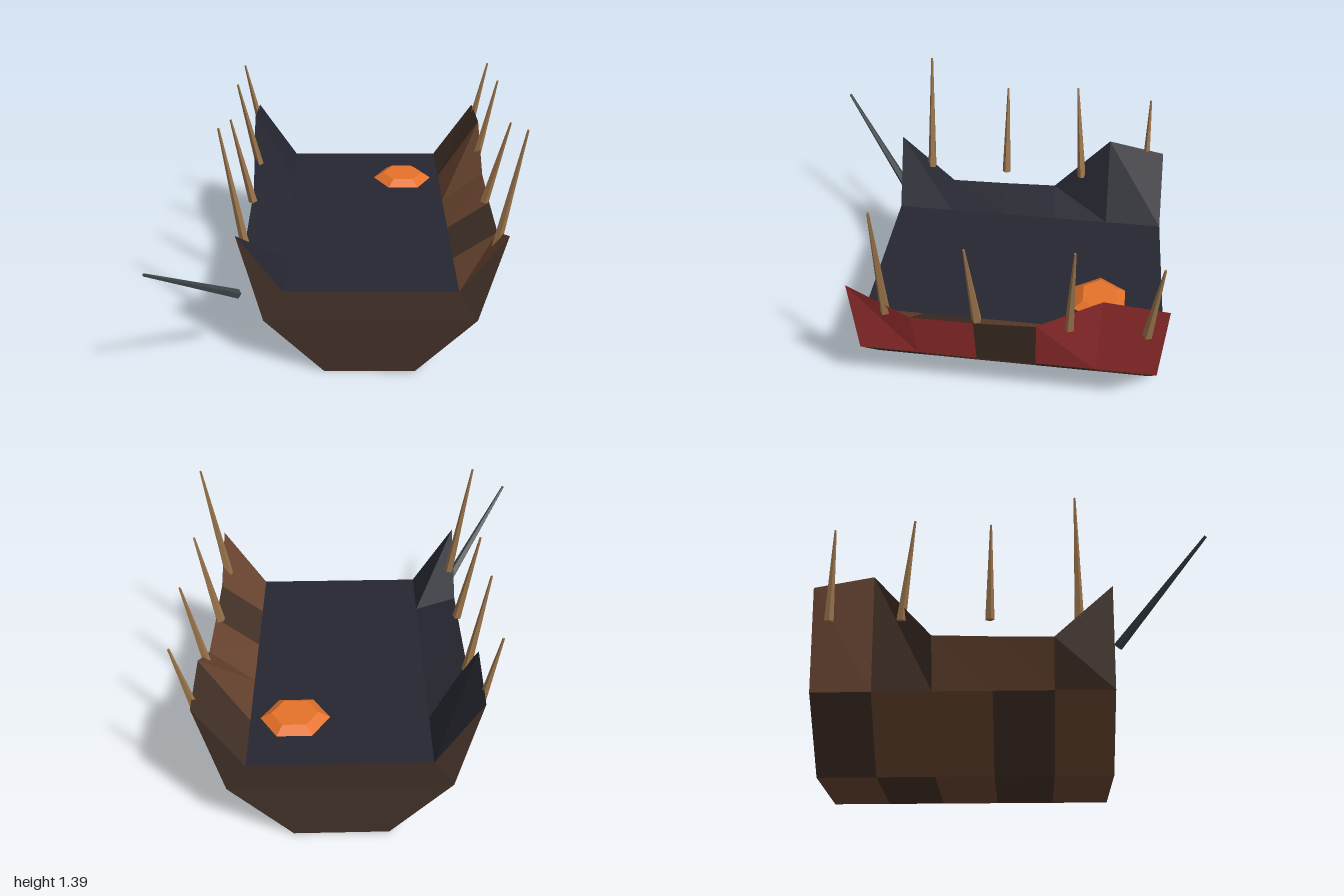
import * as THREE from 'three';

const mat = (name, color) => {
  const m = new THREE.MeshStandardMaterial({ color, flatShading: true });
  m.name = name;
  return m;
};

export function createModel() {
  const model = new THREE.Group();
  const mats = {
    d: mat('darkWood', 0x423127),
    b: mat('brownWood', 0x694430),
    r: mat('redPaint', 0xa03131),
    n: mat('deckNavy', 0x262631),
    o: mat('orangeHatch', 0xe57129),
    t: mat('tanSpike', 0x9a744b),
    g: mat('greySpar', 0x3d4448),
  };

  const addTriangles = (name, key, points) => {
    const geo = new THREE.BufferGeometry().setFromPoints(points);
    geo.computeVertexNormals();
    const mesh = new THREE.Mesh(geo, mats[key]);
    mesh.name = name;
    model.add(mesh);
  };

  // Hull stations from front to back, with the rail heights on each side
  const stations = [0.575, 0.265, -0.05, -0.36, -0.67, -0.985];
  const leftRail = [0.885, 0.71, 0.71, 0.725, 0.925, 0.895];
  const rightRail = [0.885, 0.595, 0.6, 0.61, 0.955, 0.895];
  const rings = stations.map((z, i) => [
    [-0.1, 0], [0.4, 0], [0.72, 0.35], [0.837, leftRail[i]],
    [0.61, 0.53], [-0.31, 0.53], [-0.537, rightRail[i]], [-0.42, 0.35],
  ].map(([x, y], k) => new THREE.Vector3(x, y, k === 4 || k === 5 ? z - 0.015 : z)));

  // Lengthwise strips: one colour letter per segment, front to back
  const strips = [
    ['bottomPlanks', 'bdbdb'],
    ['leftLowerPlanks', 'dbbdb'],
    ['leftUpperPlanks', 'rrdrr'],
    ['leftInnerWall', 'bdbbd'],
    ['deck', 'nnnnn'],
    ['rightInnerWall', 'nnnnn'],
    ['rightUpperPlanks', 'dbbdb'],
    ['rightLowerPlanks', 'bdbbd'],
  ];
  strips.forEach(([name, colours], k) => {
    const next = (k + 1) % 8;
    for (const key of new Set(colours)) {
      const points = [];
      for (let i = 0; i < 5; i++) {
        if (colours[i] !== key) continue;
        const [f, b] = [rings[i], rings[i + 1]];
        points.push(f[k], b[k], f[next], b[k], b[next], f[next]);
      }
      addTriangles(name, key, points);
    }
  });

  // End walls
  const cap = [0, 1, 2, 0, 2, 7, 7, 2, 4, 7, 4, 5, 2, 3, 4, 7, 5, 6];
  addTriangles('frontWall', 'd', cap.map((k) => rings[0][k]));
  addTriangles('backWall', 'd', [...cap].reverse().map((k) => rings[5][k]));

  // Tapered pole between two points
  const pole = (name, key, from, to, r0, r1, sides) => {
    const a = new THREE.Vector3(...from);
    const dir = new THREE.Vector3(...to).sub(a);
    const geo = new THREE.CylinderGeometry(r1, r0, dir.length(), sides);
    const mesh = new THREE.Mesh(geo, mats[key]);
    mesh.name = name;
    mesh.position.copy(a).addScaledVector(dir, 0.5);
    mesh.quaternion.setFromUnitVectors(new THREE.Vector3(0, 1, 0), dir.normalize());
    model.add(mesh);
  };

  // Rail spikes: base z, tip height, left tip z, right tip z
  const spikes = [
    [0.395, 1.39, 0.405, 0.39],
    [-0.065, 1.225, -0.022, -0.057],
    [-0.522, 1.257, -0.522, -0.46],
    [-0.897, 1.205, -0.922, -0.882],
  ];
  for (const [z, top, leftZ, rightZ] of spikes) {
    pole('leftSpike', 't', [0.81, 0.71, z], [0.905, top, leftZ], 0.026, 0.006, 5);
    pole('rightSpike', 't', [-0.51, 0.71, z], [-0.605, top, rightZ], 0.026, 0.006, 5);
  }

  // Spar leaning out from the front corner
  pole('spar', 'g', [-0.545, 0.53, 0.58], [-0.905, 0.943, 0.993], 0.026, 0.008, 5);

  // Six-sided hatch on the deck
  const hatchGeo = new THREE.CylinderGeometry(0.12, 0.18, 0.037, 6);
  hatchGeo.rotateY(Math.PI / 2).scale(1, 1, 0.865);
  const hatch = new THREE.Mesh(hatchGeo, mats.o);
  hatch.name = 'hatch';
  hatch.position.set(0.38, 0.548, -0.668);
  model.add(hatch);

  return model;
}
